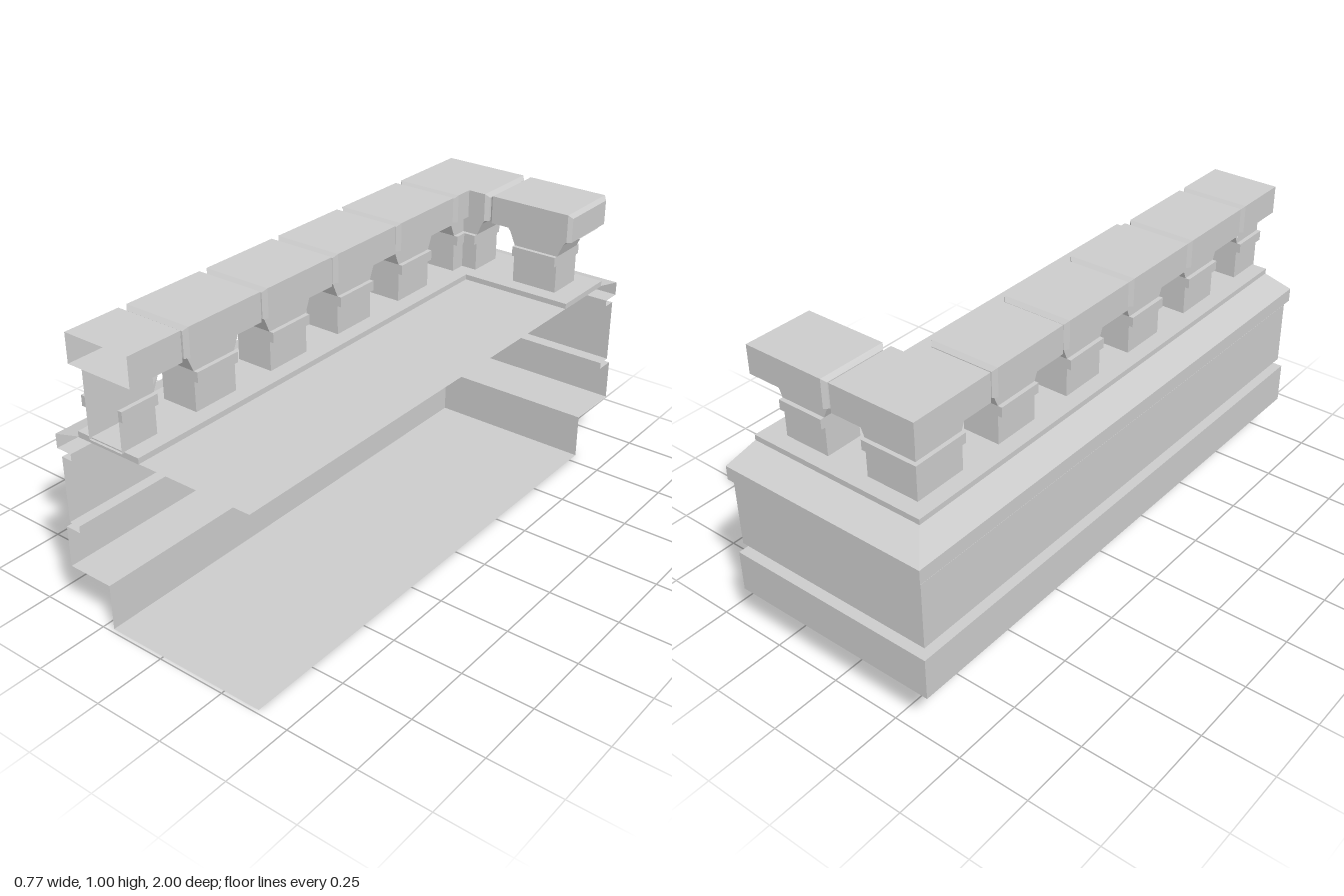
import * as THREE from 'three';

const stone = new THREE.MeshStandardMaterial({ color: 0xcccccc, flatShading: true, side: THREE.DoubleSide });
stone.name = 'pale grey stone';

// Skin a surface over rows of [x, y, z] points
function skin(rows) {
  const pos = [];
  for (let i = 0; i < rows.length - 1; i++) {
    for (let j = 0; j < rows[i].length - 1; j++) {
      const a = rows[i][j], b = rows[i][j + 1], c = rows[i + 1][j + 1], d = rows[i + 1][j];
      pos.push(...a, ...b, ...c, ...a, ...c, ...d);
    }
  }
  const g = new THREE.BufferGeometry();
  g.setAttribute('position', new THREE.Float32BufferAttribute(pos, 3));
  g.computeVertexNormals();
  return g;
}

function add(parent, name, geometry, x = 0, y = 0, z = 0) {
  const m = new THREE.Mesh(geometry, stone);
  m.name = name;
  m.position.set(x, y, z);
  parent.add(m);
  return m;
}

const RIGHT = 0.383, FRONT = 0.987;
const PITCH = 0.332, JOINT = 0.206;         // joints between cap stones, from the corner
const HALF_CAP = 0.124, HALF_STEM = 0.067;  // half thicknesses
const CAP_BOTTOM = 0.905, CAP_TOP = 1.004, BASE = 0.68;

// Half an arch, measured from the joint: crown, curve, springing, foot
const arch = [[0, CAP_BOTTOM], [0.018, 0.903], [0.037, 0.894], [0.06, 0.866], [0.08, 0.82], [0.08, BASE]];

// Cap stone along x; bevelled ends are inset on the sides and top
function capStone(parent, s0, s1, bevel0, bevel1) {
  const b = 0.013;
  const ring = (s, inset) => {
    const w = HALF_CAP - inset, t = CAP_TOP - inset;
    return [[s, CAP_BOTTOM, -w], [s, t, -w], [s, t, w], [s, CAP_BOTTOM, w], [s, CAP_BOTTOM, -w]];
  };
  const centre = s => Array.from({ length: 5 }, () => [s, 0.95, 0]);
  const rows = [centre(s0), ring(s0, bevel0 ? b : 0), ring(s0 + b, 0)];
  if (bevel1) rows.push(ring(s1 - b, 0), ring(s1, b), centre(s1));
  else rows.push(ring(s1, 0));              // left open where it is cut
  add(parent, 'capStone', skin(rows));
}

// Pier from a contour of [along, y] points, with a band on both faces
function pier(parent, contour, bandStart, bandEnd) {
  const edge = z => contour.map(([s, y]) => [s, y, z]);
  add(parent, 'pierEdges', skin([edge(-HALF_STEM), edge(HALF_STEM)]));
  const face = new THREE.ShapeGeometry(new THREE.Shape(contour.map(p => new THREE.Vector2(...p))));
  for (const side of [-1, 1]) {
    add(parent, 'pierFace', face, 0, 0, side * HALF_STEM);
    add(parent, 'pierBand', new THREE.BoxGeometry(bandEnd - bandStart, 0.035, 0.015),
      (bandStart + bandEnd) / 2, 0.8025, side * (HALF_STEM + 0.0075));
  }
}

const rising = s => arch.map(([d, y]) => [s + d, y]);              // left side, top to foot
const falling = s => arch.map(([d, y]) => [s - d, y]).reverse();   // right side, foot to top

// One arm of the parapet, running along +x from the corner
function parapetArm(name, fullPiers, cutAt) {
  const arm = new THREE.Group();
  arm.name = name;

  // Corner stone
  capStone(arm, -HALF_CAP, JOINT - 0.003, false, true);
  pier(arm, [[-HALF_STEM, CAP_BOTTOM], [-HALF_STEM, BASE], ...falling(JOINT)], -HALF_STEM - 0.015, JOINT - 0.08);

  // Repeating stones
  for (let i = 0; i < fullPiers; i++) {
    const s0 = JOINT + i * PITCH, s1 = s0 + PITCH;
    capStone(arm, s0 + 0.003, s1 - 0.003, true, true);
    pier(arm, [...rising(s0), ...falling(s1)], s0 + 0.08, s1 - 0.08);
  }

  // Cut stone at the open end
  let end = JOINT + fullPiers * PITCH;
  if (cutAt) {
    capStone(arm, end + 0.003, cutAt, true, false);
    const c = rising(end);
    pier(arm, [...c, [cutAt, BASE]], end + 0.08, cutAt);
    // Close the upper part of the cut pier's faces
    const fill = new THREE.ShapeGeometry(new THREE.Shape(
      [[end, CAP_BOTTOM], [end + 0.08, BASE], [cutAt, BASE], [cutAt, CAP_BOTTOM]].slice(1)
        .concat([[end + 0.08, CAP_BOTTOM]]).map(p => new THREE.Vector2(...p))));
    for (const side of [-1, 1]) add(arm, 'pierFace', fill, 0, 0, side * HALF_STEM);
    end = cutAt - 0.008;
  }

  // Low plinth under the piers
  add(arm, 'plinth', new THREE.BoxGeometry(end + HALF_CAP, 0.02, HALF_CAP * 2),
    (end - HALF_CAP) / 2, 0.674, 0);
  return arm;
}

export function createModel() {
  const model = new THREE.Group();
  model.name = 'corniceCorner';

  // Moulded wall: outline as [x, z, y], swept round the corner
  const profile = [
    [0.215, 0.795, 0], [0.215, 0.795, 0.163], [0.385, 1, 0.163], [0.385, 1, 0.31],
    [0.326, 0.932, 0.31], [0.326, 0.932, 0.333], [0.367, 0.98, 0.333], [0.367, 0.98, 0.565],
    [0.326, 0.932, 0.565], [0.326, 0.932, 0.588], [0.385, 1, 0.588], [0.385, 1, 0.637],
    [0.279, 0.879, 0.665],
  ];
  add(model, 'mouldedWall', skin([
    profile.map(([x, , y]) => [-x, y, FRONT]),
    profile.map(([x, z, y]) => [-x, y, -z]),
    profile.map(([, z, y]) => [RIGHT, y, -z]),
  ]));

  // Flat slabs closing the top and the bottom
  const slab = (name, x0, z0, y, up) => {
    const g = new THREE.PlaneGeometry(RIGHT - x0, FRONT - z0).rotateX(up ? -Math.PI / 2 : Math.PI / 2);
    add(model, name, g, (RIGHT + x0) / 2, y, (FRONT + z0) / 2);
  };
  slab('deck', -0.279, -0.879, 0.665, true);
  slab('underside', -0.215, -0.795, 0, false);

  // Parapet: a short arm along the back and a long arm down the side
  const shortArm = parapetArm('shortParapet', 1, 0);
  const longArm = parapetArm('longParapet', 4, 1.752);
  longArm.rotation.y = -Math.PI / 2;
  for (const arm of [shortArm, longArm]) {
    arm.position.set(-0.155, 0, -0.756);
    model.add(arm);
  }
  return model;
}
